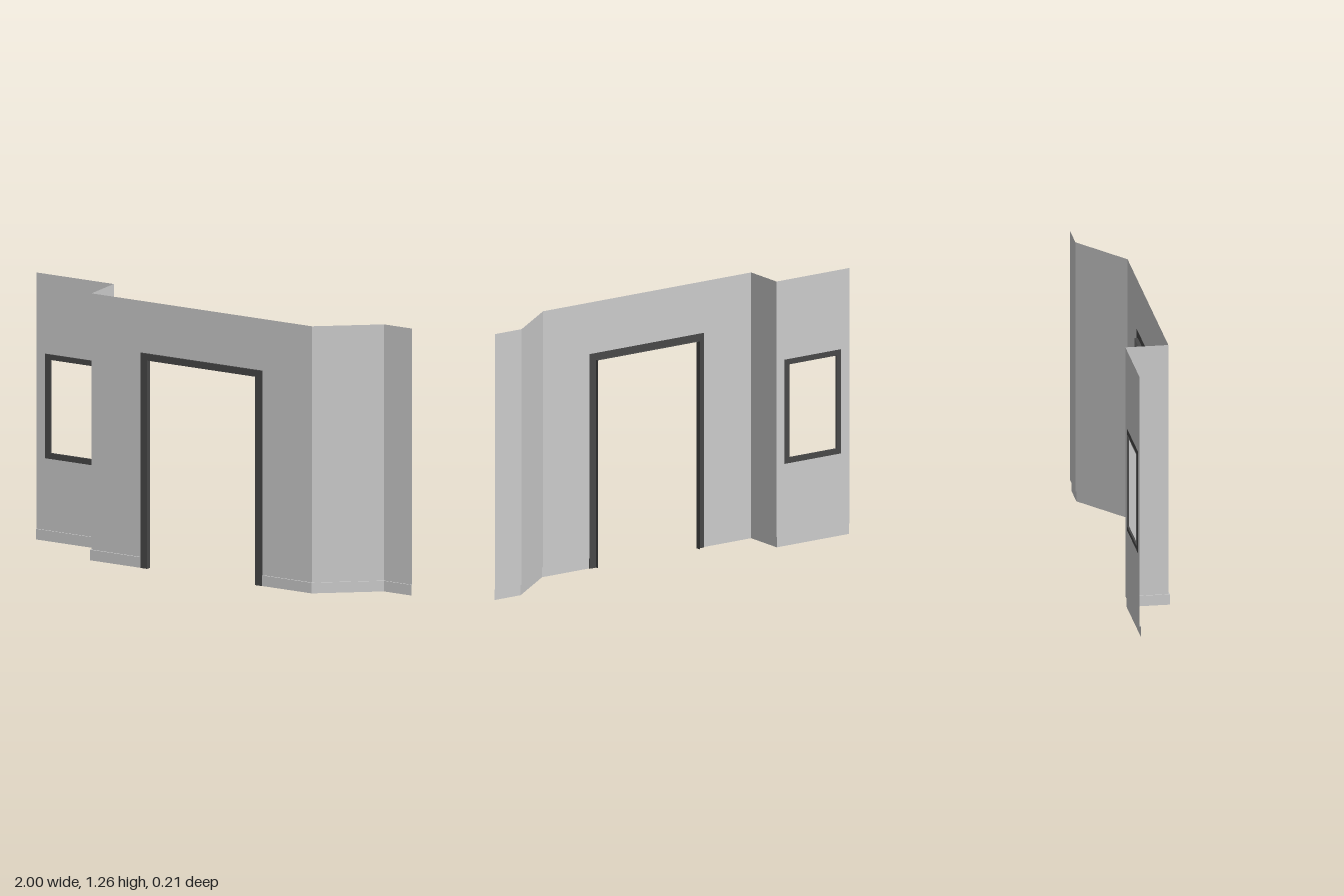
import * as THREE from 'three';

const H = 1.26, SKIRT = 0.05;
// Plan of the wall and of the slightly proud skirting, as [x, z]
const WALL = [[-1, -0.1], [-0.588, -0.1], [-0.588, 0.099], [0.585, 0.099], [0.85, -0.1], [1, -0.1]];
const BASE = [[-1, -0.095], [-0.593, -0.095], [-0.593, 0.105], [0.587, 0.105], [0.852, -0.095], [1, -0.095]];
const DOOR = { x: 0.323, top: 1.016, inX: 0.287, inTop: 0.984 };
const WIN = { outer: [-0.952, 0.39, -0.634, 0.883], inner: [-0.923, 0.417, -0.658, 0.858] };

const wallMat = new THREE.MeshStandardMaterial({ color: 0xcccccc, side: THREE.DoubleSide });
const frameMat = new THREE.MeshStandardMaterial({ color: 0x484848, side: THREE.DoubleSide });

const rect = ([x0, y0, x1, y1]) => [[x0, y0], [x1, y0], [x1, y1], [x0, y1]];
const toShape = (pts) => new THREE.Shape(pts.map(([x, y]) => new THREE.Vector2(x, y)));

function add(group, name, geometry, material) {
  const mesh = new THREE.Mesh(geometry, material);
  mesh.name = name;
  group.add(mesh);
  return mesh;
}

// Flat-shaded sheet between two matching polylines of [x, y, z]
function strip(a, b) {
  const pos = [];
  for (let i = 0; i < a.length - 1; i++) {
    pos.push(...a[i], ...a[i + 1], ...b[i + 1], ...a[i], ...b[i + 1], ...b[i]);
  }
  const g = new THREE.BufferGeometry();
  g.setAttribute('position', new THREE.Float32BufferAttribute(pos, 3));
  g.computeVertexNormals();
  return g;
}

const lift = (plan, y) => plan.map(([x, z]) => [x, y, z]);
const atZ = (outline, z) => outline.map(([x, y]) => [x, y, z]);

// Flat trim on the wall face plus a thin lining inside the opening
function addFrame(group, name, shape, lining, zBack, zFront, zLining) {
  const frame = new THREE.Group();
  frame.name = name;
  const trim = new THREE.ExtrudeGeometry(shape, { depth: zFront - zBack, bevelEnabled: false });
  trim.translate(0, 0, zBack);
  add(frame, name + 'Trim', trim, frameMat);
  add(frame, name + 'Lining', strip(atZ(lining, zLining), atZ(lining, zFront)), frameMat);
  group.add(frame);
}

export function createModel() {
  const model = new THREE.Group();
  model.name = 'wallSection';

  // Recessed panel with the window opening
  const windowPanel = toShape(rect([WALL[0][0], SKIRT, WALL[1][0], H]));
  windowPanel.holes.push(toShape(rect(WIN.outer)));
  add(model, 'windowPanel', new THREE.ShapeGeometry(windowPanel), wallMat).position.z = WALL[0][1];

  // Projecting panel with the doorway
  const [xl, xr] = [WALL[2][0], WALL[3][0]];
  const doorPanel = toShape([
    [xl, SKIRT], [-DOOR.x, SKIRT], [-DOOR.x, DOOR.top], [DOOR.x, DOOR.top],
    [DOOR.x, SKIRT], [xr, SKIRT], [xr, H], [xl, H],
  ]);
  add(model, 'doorPanel', new THREE.ShapeGeometry(doorPanel), wallMat).position.z = WALL[2][1];

  // Plain panels: square return, angled return and end panel
  [['returnPanel', 1], ['angledPanel', 3], ['endPanel', 4]].forEach(([name, i]) => {
    const run = WALL.slice(i, i + 2);
    add(model, name, strip(lift(run, SKIRT), lift(run, H)), wallMat);
  });

  // Skirting with its ledge, interrupted by the doorway
  const runs = [
    ['rightSkirting', [...BASE.slice(0, 3), [-DOOR.x, BASE[2][1]]], [...WALL.slice(0, 3), [-DOOR.x, WALL[2][1]]]],
    ['leftSkirting', [[DOOR.x, BASE[3][1]], ...BASE.slice(3)], [[DOOR.x, WALL[3][1]], ...WALL.slice(3)]],
  ];
  for (const [name, base, wall] of runs) {
    add(model, name, strip(lift(base, 0), lift(base, SKIRT)), wallMat);
    add(model, name + 'Ledge', strip(lift(base, SKIRT), lift(wall, SKIRT)), wallMat);
  }

  // Door frame
  const inner = [[-DOOR.inX, 0], [-DOOR.inX, DOOR.inTop], [DOOR.inX, DOOR.inTop], [DOOR.inX, 0]];
  const outer = [[DOOR.x, 0], [DOOR.x, DOOR.top], [-DOOR.x, DOOR.top], [-DOOR.x, 0]];
  addFrame(model, 'doorFrame', toShape([...inner, ...outer]), inner, 0.098, 0.107, 0.083);

  // Window frame
  const windowShape = toShape(rect(WIN.outer));
  const glassEdge = rect(WIN.inner);
  windowShape.holes.push(toShape(glassEdge));
  addFrame(model, 'windowFrame', windowShape, [...glassEdge, glassEdge[0]], -0.101, -0.095, -0.104);

  return model;
}
